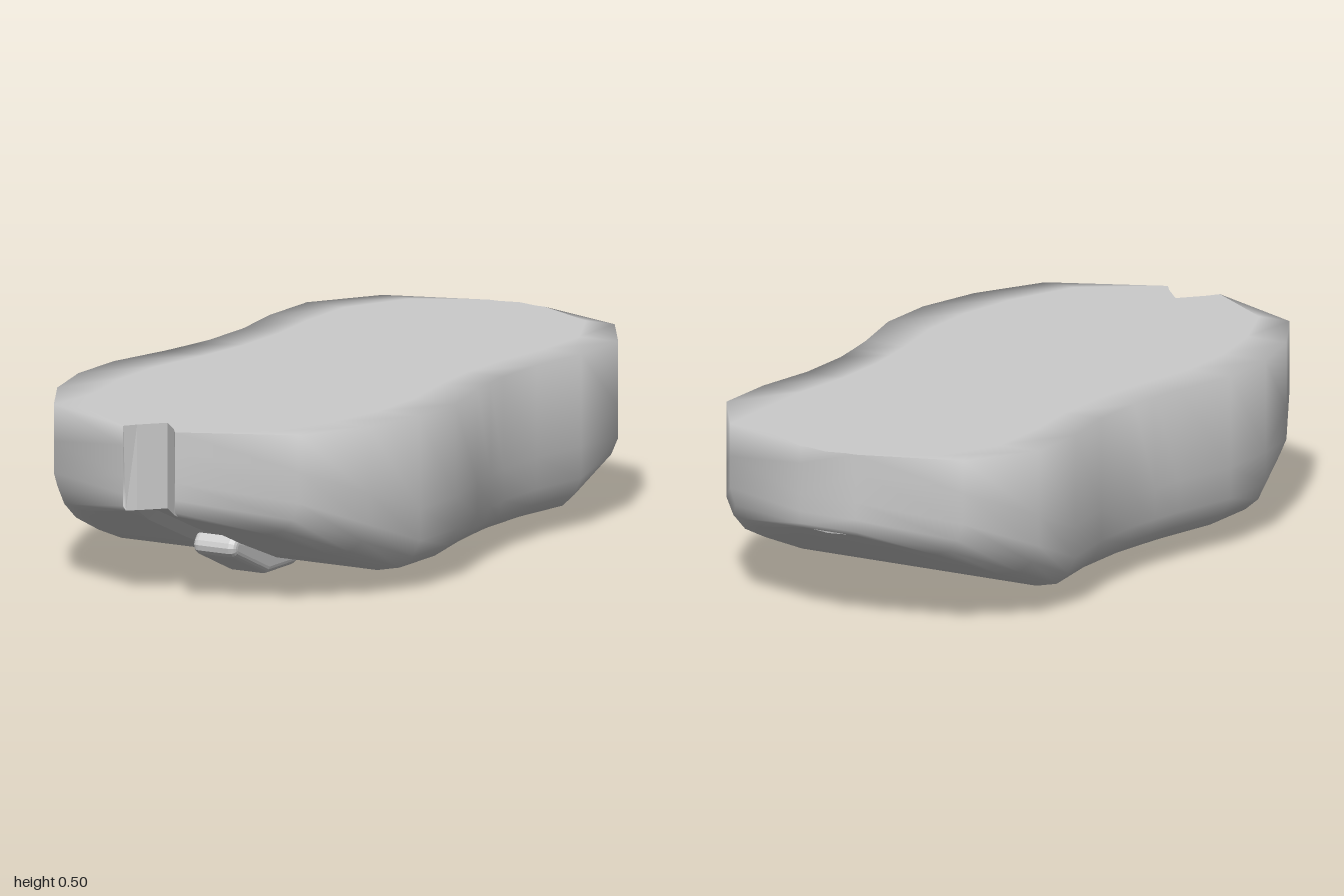
import * as THREE from 'three';

const TOP = 0.505, GROOVE_START = 6;
// cross-sections from back to front: z, half width, underside height
const sections = [
  [-0.985, 0.09, 0.265], [-0.885, 0.38, 0.22], [-0.69, 0.51, 0.13], [-0.49, 0.51, 0.05],
  [-0.3, 0.48, 0.05], [-0.12, 0.48, 0.05], [-0.03, 0.493, 0.05], [0.07, 0.51, 0.05],
  [0.27, 0.56, 0.05], [0.46, 0.56, 0.05], [0.655, 0.51, 0.125], [0.855, 0.4, 0.21], [1, 0.085, 0.26],
];
const last = sections.length - 1;
// half profile from underside centre, round the side, to the flat face
// fixed x or width fraction, and height above the underside (null = flat face)
const half = [
  { x: 0, dy: 0 }, { x: 0.06, dy: 0 }, { x: 0.09, dy: 0 }, { f: 0.4, dy: 0 }, { f: 0.75, dy: 0 },
  { f: 0.88, dy: 0.015 }, { f: 0.955, dy: 0.05 }, { f: 1, dy: 0.1 }, { f: 1, dy: 0.19 },
  { f: 1, dy: null }, { f: 0.75, dy: null }, { f: 0.4, dy: null },
  { x: 0.09, dy: null }, { x: 0.06, dy: null }, { x: 0, dy: null },
];
const N = half.length, M = 2 * N - 2;

function point(i, j, raise = 0) {
  j = (j + M) % M;
  const mirrored = j >= N;
  const p = half[mirrored ? M - j : j];
  const [z0, w, b] = sections[i];
  const inner = Math.min(0.09, w);
  const x = p.x !== undefined ? Math.min(p.x, w) : Math.max(inner, p.f * w);
  const y = p.dy === null ? TOP : b + p.dy;
  let z = z0;
  if (i === last) { // V notch in the front end
    if (x === 0) z = 0.9;
    else if (x === 0.06) z = 0.965;
    else if (p.dy === 0) z -= 0.015;
  }
  if (i === 0) z += (x === 0 ? -0.015 : 0) + (p.dy === 0 ? 0.015 : 0);
  return [mirrored ? -x : x, y + raise, z];
}

function geometry(positions, index) {
  const g = new THREE.BufferGeometry();
  g.setAttribute('position', new THREE.Float32BufferAttribute(positions.flat(), 3));
  g.setIndex(index);
  g.computeVertexNormals();
  return g;
}

// smooth shell, left open along the groove and notch
function bodyGeometry() {
  const pos = [], index = [];
  for (let i = 0; i <= last; i++) for (let j = 0; j < M; j++) pos.push(point(i, j));
  for (let i = 0; i < last; i++) {
    for (let j = 0; j < M; j++) {
      if (i >= GROOVE_START && (j < 2 || j >= M - 2)) continue;
      const k = (j + 1) % M;
      const a = i * M + j, b = i * M + k, c = b + M, d = a + M;
      index.push(a, b, c, a, c, d);
    }
  }
  // back end closed by strips between underside and flat face
  for (let j = 0; j < N - 1; j++) {
    const a = j, b = j + 1, c = (M - j - 1) % M, d = (M - j) % M;
    index.push(a, c, b);
    if (j > 0) index.push(a, d, c);
  }
  return geometry(pos, index);
}

// recessed channel along the underside
function grooveGeometry() {
  const pos = [], index = [];
  for (let i = GROOVE_START; i <= last; i++) {
    const depth = i === GROOVE_START || i === last ? 0 : 0.03;
    for (let j = -2; j <= 2; j++) pos.push(point(i, j, Math.abs(j) < 2 ? depth : 0));
  }
  for (let r = 0; r < last - GROOVE_START; r++) {
    for (let j = 0; j < 4; j++) {
      const a = r * 5 + j;
      index.push(a, a + 1, a + 6, a, a + 6, a + 5);
    }
  }
  return geometry(pos, index);
}

// upright faces of the front notch
function notchGeometry() {
  const pos = [], index = [];
  for (let j = -2; j <= 2; j++) {
    const low = point(last, j);
    pos.push(low, [low[0], TOP, Math.abs(j) === 2 ? 1 : low[2]]);
  }
  for (let j = 0; j < 4; j++) {
    const a = j * 2;
    index.push(a, a + 2, a + 3, a, a + 3, a + 1);
  }
  return geometry(pos, index);
}

// bent pad with rounded edges, drawn in side profile and extruded across
function wheelGeometry() {
  const s = new THREE.Shape();
  s.moveTo(0.63, 0.115);
  s.quadraticCurveTo(0.645, 0.1, 0.625, 0.092);
  s.lineTo(0.465, 0.022);
  s.lineTo(0.33, 0.022);
  s.quadraticCurveTo(0.315, 0.022, 0.315, 0.035);
  s.lineTo(0.315, 0.06);
  s.lineTo(0.45, 0.065);
  s.closePath();
  const g = new THREE.ExtrudeGeometry(s, {
    depth: 0.1, bevelEnabled: true, bevelSize: 0.02, bevelThickness: 0.02, bevelSegments: 4, curveSegments: 5,
  });
  g.translate(0, 0, -0.05);
  g.rotateY(-Math.PI / 2); // profile x becomes z
  return g;
}

export function createModel() {
  const group = new THREE.Group();
  const smooth = new THREE.MeshStandardMaterial({ color: 0xcccccc, side: THREE.DoubleSide });
  const flat = new THREE.MeshStandardMaterial({ color: 0xcccccc, side: THREE.DoubleSide, flatShading: true });
  const add = (name, geo, mat) => {
    const mesh = new THREE.Mesh(geo, mat);
    mesh.name = name;
    group.add(mesh);
    return mesh;
  };
  add('body', bodyGeometry(), smooth);
  add('groove', grooveGeometry(), flat);
  add('frontNotch', notchGeometry(), flat);
  add('scrollWheel', wheelGeometry(), smooth);
  const button = add('button', new THREE.BoxGeometry(0.08, 0.07, 0.08), flat);
  button.position.set(0, 0.063, 0.105);
  button.rotation.y = -0.576;
  return group;
}
